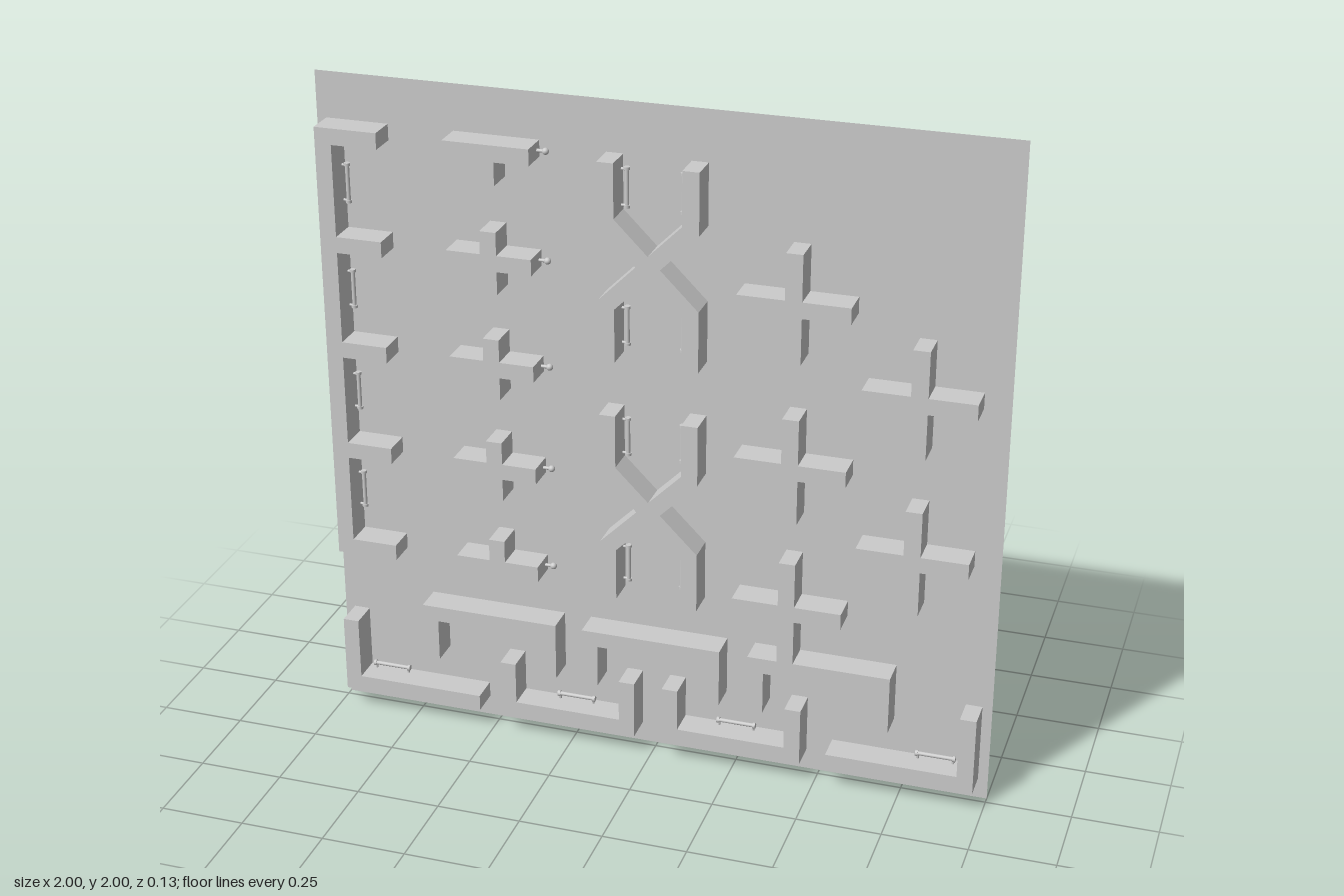
import * as THREE from 'three';

const DEPTH = 0.132, W = 0.048; // wall height through the sheet, wall width
const mat = new THREE.MeshStandardMaterial({ color: 0xcccccc, flatShading: true });
const smooth = new THREE.MeshStandardMaterial({ color: 0xcccccc });
const sheetMat = new THREE.MeshStandardMaterial({ color: 0xcccccc, side: THREE.DoubleSide });

export function createModel() {
  const root = new THREE.Group();

  const add = (name, geo, material, x = 0, y = 0, z = 0) => {
    const m = new THREE.Mesh(geo, material);
    m.name = name;
    m.position.set(x, y, z);
    root.add(m);
    return m;
  };

  // Extruded outline, centred on z = 0
  const block = (name, pts, x = 0, y = 0) => {
    const shape = new THREE.Shape(pts.map(([a, b]) => new THREE.Vector2(a, b)));
    const geo = new THREE.ExtrudeGeometry(shape, { depth: DEPTH, bevelEnabled: false });
    geo.translate(0, 0, -DEPTH / 2);
    return add(name, geo, mat, x, y);
  };

  // Cross with separate arm lengths: left/right, up, down
  const cross = (name, x, y, side, up, down) => {
    const h = W / 2, pts = [[-side, -h]];
    if (down) pts.push([-h, -h], [-h, -down], [h, -down], [h, -h]);
    pts.push([side, -h], [side, h]);
    if (up) pts.push([h, h], [h, up], [-h, up], [-h, h]);
    pts.push([-side, h]);
    block(name, pts, x, y);
  };

  // Slim pull: bar, end collars and short posts; posts point along local -x
  const pull = (x, y, angle) => {
    const g = new THREE.Group();
    g.name = 'pullHandle';
    const part = (r, len, px, py, turn = 0) => {
      const m = new THREE.Mesh(new THREE.CylinderGeometry(r, r, len, 12), smooth);
      m.position.set(px, py, 0);
      m.rotation.z = turn;
      g.add(m);
    };
    part(0.006, 0.112, 0, 0);
    for (const s of [-1, 1]) {
      part(0.009, 0.008, 0, s * 0.055);
      part(0.004, 0.016, -0.008, s * 0.052, Math.PI / 2);
    }
    g.position.set(x, y, 0);
    g.rotation.z = angle;
    root.add(g);
  };

  // Thin backing sheet that the walls pass through
  add('sheet', new THREE.PlaneGeometry(2, 2), sheetMat, 0, 1, -0.02);

  // Comb wall on the left edge of the front
  const rows = [1.84, 1.52, 1.198, 0.878, 0.56];
  const comb = [[-0.972, rows[4] - W / 2], [-0.972, rows[0] + W / 2]];
  rows.forEach((y, i) => {
    if (i > 0) comb.push([-0.923, y + W / 2]);
    comb.push([-0.787, y + W / 2], [-0.787, y - W / 2]);
    if (i < 4) comb.push([-0.923, y - W / 2]);
  });
  block('combWall', comb);
  for (const y of [1.685, 1.365, 1.045, 0.725]) pull(-0.908, y, 0);

  // Small crosses with a knob at the end of one arm
  rows.forEach((y, i) => {
    cross('smallCross', -0.466, y, 0.126, i === 0 ? 0 : 0.092, i === 4 ? 0 : 0.092);
    const stem = add('knobStem', new THREE.CylinderGeometry(0.005, 0.005, 0.022, 10), smooth, -0.331, y);
    stem.rotation.z = Math.PI / 2;
    add('knob', new THREE.SphereGeometry(0.01, 14, 10), smooth, -0.315, y);
  });

  // X-shaped walls with straight legs
  const o = 0.145, i = 0.097, d = 0.035, top = 0.291;
  const quarter = [[d, 0], [o, o - d], [o, top], [i, top], [i, i + d]];
  const xPts = [
    ...quarter, [0, d],
    ...quarter.slice(1).reverse().map(([a, b]) => [-a, b]),
    ...quarter.map(([a, b]) => [-a, -b]), [0, -d],
    ...quarter.slice(1).reverse().map(([a, b]) => [a, -b]),
  ];
  for (const y of [1.559, 0.812]) {
    block('xWall', xPts, -0.002, y);
    for (const s of [-1, 1]) {
      pull(-0.082, y + s * 0.203, 0);
      pull(0.079, y + s * 0.203, Math.PI);
    }
  }

  // Large crosses
  for (const [x, y] of [[0.408, 1.491], [0.408, 1.004], [0.408, 0.557], [0.763, 1.257], [0.763, 0.775]])
    cross('largeCross', x, y, 0.16, 0.16, 0.16);

  // U-shaped walls: opening down (flip -1) or up (flip 1); origin on the closed side
  const uWall = (name, x, y, flip) => {
    const h = 0.21, k = h - W, t = 0.178;
    block(name, [[-h, 0], [h, 0], [h, t], [k, t], [k, W], [-k, W], [-k, t], [-h, t]]
      .map(([a, b]) => [a, b * flip]), x, y);
  };
  for (const x of [-0.499, 0.003, 0.507]) uWall('archWall', x, 0.397, -1);
  for (const x of [-0.256, 0.249]) {
    uWall('cupWall', x, 0.064, 1);
    pull(x + (x < 0 ? 0.007 : 0), 0.128, Math.PI / 2);
  }

  // Mirrored corner walls
  for (const s of [-1, 1]) {
    block('cornerWall', [[0.971, 0.064], [0.971, 0.304], [0.923, 0.304], [0.923, 0.112], [0.536, 0.112], [0.536, 0.064]]
      .map(([a, b]) => [a * s, b]));
    pull(s * 0.847, 0.128, Math.PI / 2);
  }
  return root;
}
